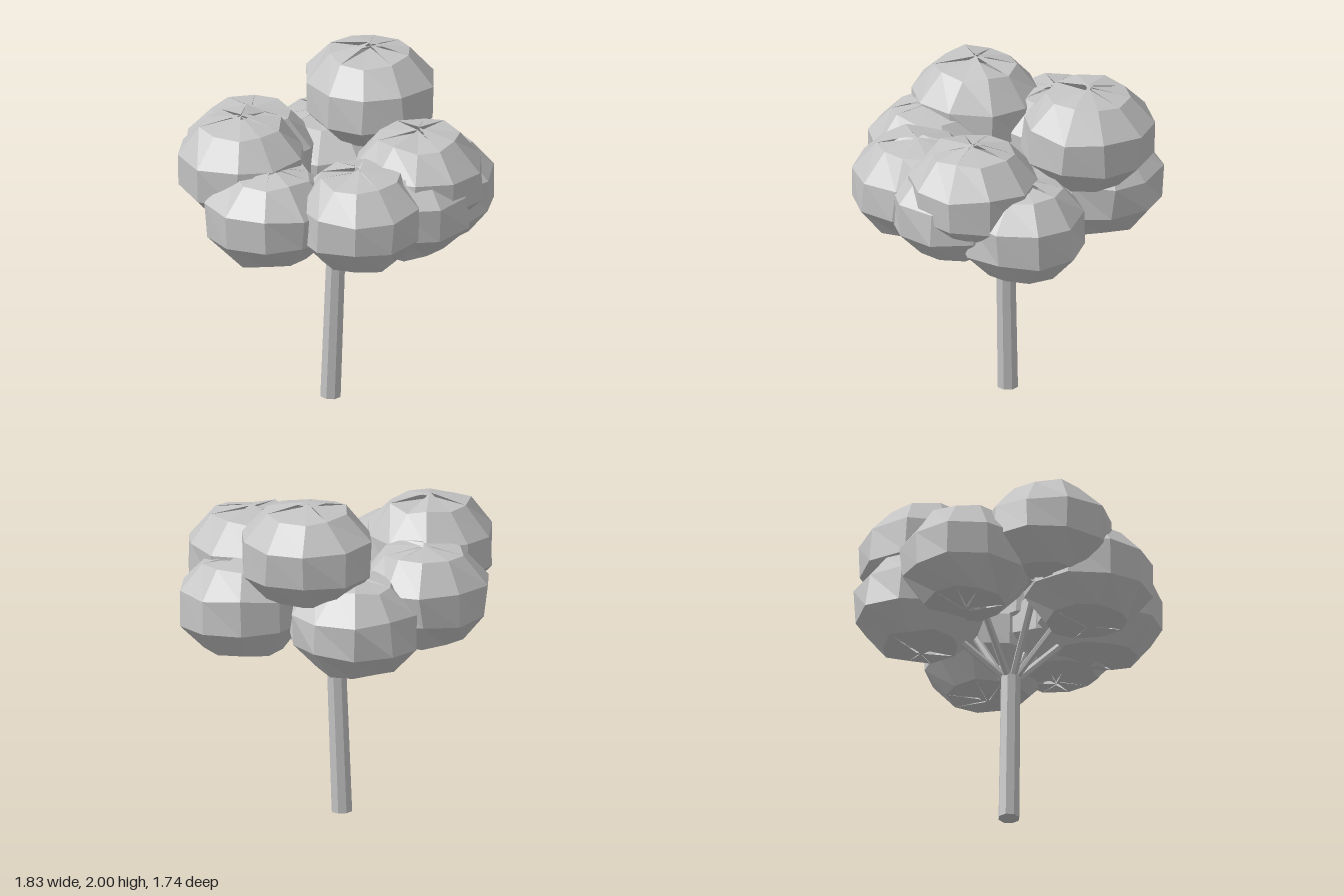
import * as THREE from 'three';

export function createModel() {
  const group = new THREE.Group();
  group.name = 'tree';
  const grey = new THREE.MeshStandardMaterial({ color: 0xc4c4c4, flatShading: true, side: THREE.DoubleSide });
  grey.name = 'pale grey';

  // Straight tapered rod between two points
  function rod(a, b, r0, r1, sides, name) {
    const dir = b.clone().sub(a);
    const mesh = new THREE.Mesh(new THREE.CylinderGeometry(r1, r0, dir.length(), sides), grey);
    mesh.position.copy(a).add(b).multiplyScalar(0.5);
    mesh.quaternion.setFromUnitVectors(new THREE.Vector3(0, 1, 0), dir.normalize());
    mesh.name = name;
    group.add(mesh);
  }

  // Repeatable value between -0.5 and 0.5
  function noise(key) {
    const s = Math.sin(key * 12.9898) * 43758.5453;
    return s - Math.floor(s) - 0.5;
  }

  // Faceted, slightly uneven clump of leaves
  function clump([x, y, z, r], seed) {
    const segments = 10, rows = 5;
    const geo = new THREE.SphereGeometry(1, segments, rows).scale(r, 0.31, r);
    const p = geo.attributes.position;
    for (let i = 0; i < p.count; i++) {
      const row = Math.floor(i / (segments + 1));
      const key = seed * 100 + row * segments + ((i % (segments + 1)) % segments);
      if (row === 0 || row === rows) {
        // Crease the poles by sinking each wedge tip a little
        p.setY(i, p.getY(i) * (0.93 + noise(key) * 0.14));
      } else {
        p.setX(i, p.getX(i) + noise(key) * 0.03);
        p.setY(i, p.getY(i) + noise(key + 0.3) * 0.03);
        p.setZ(i, p.getZ(i) + noise(key + 0.6) * 0.03);
      }
    }
    geo.computeVertexNormals();
    const mesh = new THREE.Mesh(geo, grey);
    mesh.position.set(x, y, z);
    mesh.name = 'leafClump' + seed;
    group.add(mesh);
  }

  // Leaning trunk
  const trunkTop = new THREE.Vector3(0.022, 0.91, 0);
  rod(new THREE.Vector3(-0.012, 0, 0), trunkTop, 0.062, 0.058, 8, 'trunk');

  // Leaf clumps: centre and radius
  const clumps = [
    [0.02, 1.69, -0.505, 0.4],
    [0.53, 1.47, 0, 0.395],
    [0.5, 1.35, 0.12, 0.395],
    [0.48, 1.28, -0.28, 0.39],
    [-0.25, 1.28, -0.45, 0.39],
    [-0.535, 1.38, -0.09, 0.39],
    [-0.415, 1.53, 0.355, 0.39],
    [-0.165, 1.34, 0.52, 0.39],
    [0.34, 1.365, 0.415, 0.39],
  ];

  // Each clump sits on a branch leaving the rim of the trunk
  clumps.forEach((c, i) => {
    clump(c, i + 1);
    const centre = new THREE.Vector3(c[0], c[1], c[2]);
    const start = centre.clone().sub(trunkTop).setY(0).setLength(0.05).add(trunkTop);
    start.y = 0.9;
    rod(start, centre, 0.022, 0.02, 6, 'branch' + (i + 1));
  });

  return group;
}
